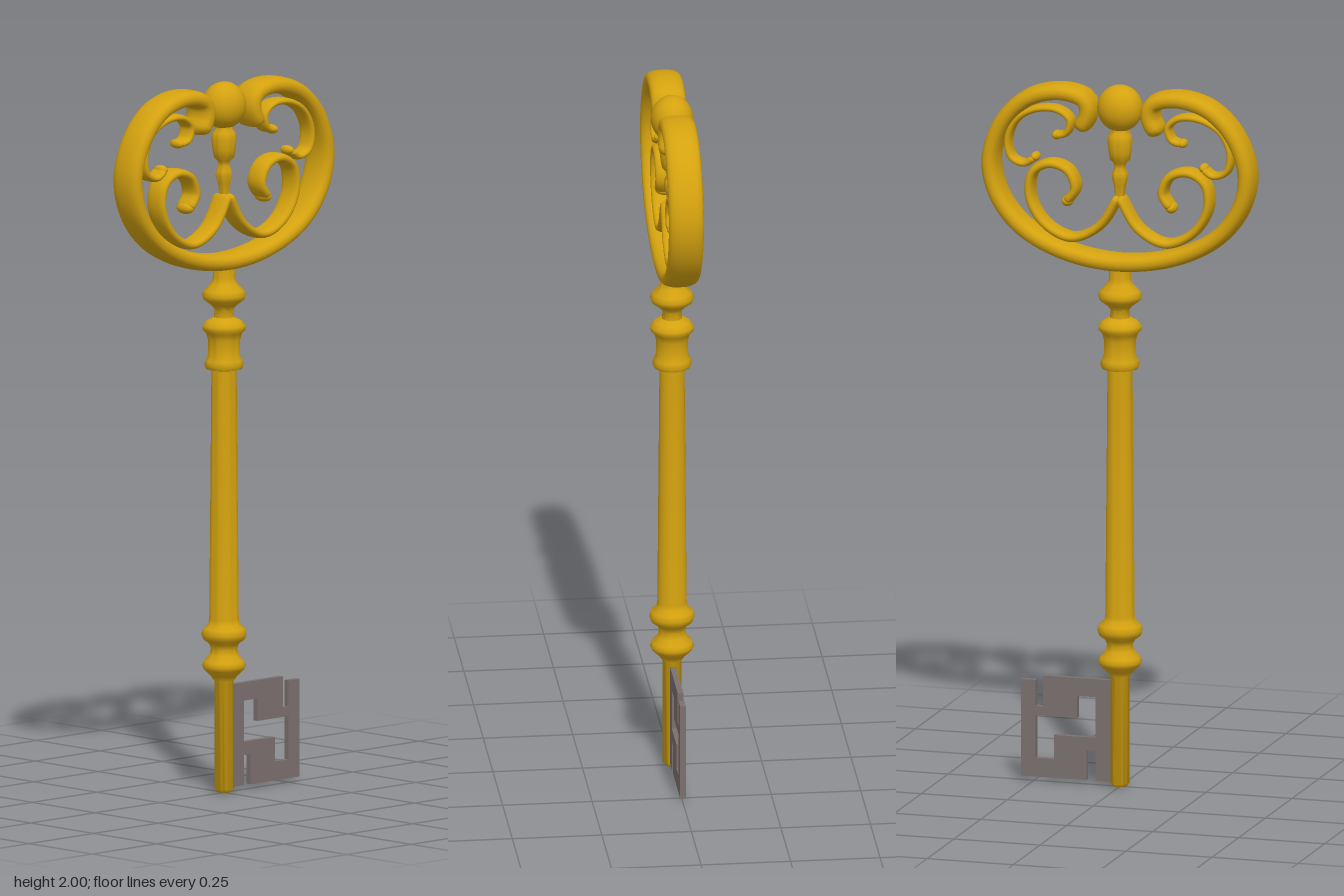
import * as THREE from 'three';
import { toCreasedNormals } from 'three/addons/utils/BufferGeometryUtils.js';

const gold = new THREE.MeshStandardMaterial({ color: 0xd4a20f });
const iron = new THREE.MeshStandardMaterial({ color: 0x7a706e });
const SIDES = 20;

function add(group, name, geometry, material = gold) {
  const mesh = new THREE.Mesh(geometry, material);
  mesh.name = name;
  group.add(mesh);
  return mesh;
}

// Swept bar in the z-y plane: width w in the plane, depth d along x, rounded ends
function scrollBar(points, w, d, segments) {
  const curve = new THREE.CatmullRomCurve3(points.map(([z, y]) => new THREE.Vector3(0, y, z)));
  curve.arcLengthDivisions = 600;
  const length = curve.getLength();
  const cap = [0, 0.08, 0.3, 0.6].map(k => k * w);
  const stops = [...cap];
  for (let i = 0; i <= segments; i++) stops.push(w + (length - 2 * w) * i / segments);
  stops.push(...cap.map(s => length - s).reverse());

  const soft = v => Math.sign(v) * Math.pow(Math.abs(v), 0.8);
  const position = [], index = [];
  stops.forEach((s, i) => {
    const u = Math.min(1, Math.max(0, s / length));
    const p = curve.getPointAt(u), t = curve.getTangentAt(u);
    const edge = Math.min(s, length - s);
    const scale = edge < w ? Math.sqrt(Math.max(0, 1 - (1 - edge / w) ** 2)) : 1;
    for (let j = 0; j < SIDES; j++) {
      const a = j / SIDES * Math.PI * 2;
      const n = soft(Math.cos(a)) * w * scale;
      position.push(soft(Math.sin(a)) * d * scale, p.y - t.z * n, p.z + t.y * n);
      if (i === stops.length - 1) continue;
      const k = (j + 1) % SIDES, r = i * SIDES, q = r + SIDES;
      index.push(r + j, r + k, q + j, r + k, q + k, q + j);
    }
  });
  const g = new THREE.BufferGeometry();
  g.setAttribute('position', new THREE.Float32BufferAttribute(position, 3));
  g.setIndex(index);
  g.computeVertexNormals();
  return g;
}

// Turned part from [radius, height] pairs
function turned(profile) {
  const g = new THREE.LatheGeometry(profile.map(([r, y]) => new THREE.Vector2(r, y)), 32);
  return toCreasedNormals(g, 0.9);
}

const mirror = points => points.map(([z, y]) => [-z, y]);

export function createModel() {
  const key = new THREE.Group();
  key.name = 'key';

  // Shaft with turned collars
  add(key, 'shaft', turned([
    [0, 0], [0.02, 0.002], [0.026, 0.01], [0.027, 0.315],
    [0.038, 0.33], [0.056, 0.347], [0.061, 0.358], [0.056, 0.37], [0.04, 0.388], [0.036, 0.405],
    [0.042, 0.42], [0.058, 0.432], [0.063, 0.447], [0.058, 0.462], [0.044, 0.474], [0.041, 0.49],
    [0.035, 1.19], [0.05, 1.193], [0.055, 1.204], [0.051, 1.217], [0.045, 1.23],
    [0.045, 1.275], [0.05, 1.293], [0.06, 1.303], [0.06, 1.315], [0.048, 1.328], [0.028, 1.338],
    [0.026, 1.36], [0.036, 1.372], [0.057, 1.388], [0.061, 1.4], [0.055, 1.414],
    [0.036, 1.433], [0.03, 1.45], [0.032, 1.5]
  ]));

  // Bow: one bar curling inward at both ends
  const half = [
    [0.116, 1.865], [0.09, 1.913], [0.097, 1.952], [0.164, 1.972], [0.259, 1.95], [0.333, 1.881],
    [0.372, 1.775], [0.354, 1.675], [0.286, 1.585], [0.164, 1.521]
  ];
  add(key, 'bow', scrollBar([...half, [0, 1.495], ...mirror(half).reverse()], 0.024, 0.049, 120));

  // Paired scrolls inside the bow
  const upper = [
    [0.185, 1.844], [0.153, 1.855], [0.143, 1.892], [0.175, 1.918], [0.238, 1.918],
    [0.296, 1.886], [0.323, 1.828], [0.312, 1.775], [0.275, 1.76], [0.243, 1.78]
  ];
  const lower = [
    [0, 1.685], [0.058, 1.595], [0.138, 1.558], [0.217, 1.595], [0.259, 1.67],
    [0.249, 1.738], [0.201, 1.765], [0.148, 1.749], [0.127, 1.7], [0.153, 1.658]
  ];
  for (const [side, place] of [['front', p => p], ['back', mirror]]) {
    add(key, side + 'UpperScroll', scrollBar(place(upper), 0.01, 0.027, 60));
    add(key, side + 'LowerScroll', scrollBar(place(lower), 0.013, 0.033, 70));
    // Beads at the scroll tips
    for (const [z, y, r] of [[0.183, 1.846, 0.013], [0.245, 1.78, 0.013], [0.151, 1.661, 0.016]]) {
      const bead = add(key, side + 'ScrollTip', new THREE.SphereGeometry(r, 16, 12));
      bead.scale.x = 1.9;
      bead.position.set(0, y, side === 'front' ? z : -z);
    }
  }

  // Finial: baluster carrying a ball
  add(key, 'finialStem', turned([
    [0, 1.655], [0.012, 1.66], [0.014, 1.69], [0.017, 1.715], [0.023, 1.735], [0.022, 1.75],
    [0.015, 1.765], [0.018, 1.778], [0.028, 1.788], [0.032, 1.81], [0.035, 1.84],
    [0.032, 1.858], [0.024, 1.868], [0.026, 1.9]
  ]));
  const ball = add(key, 'finialBall', new THREE.SphereGeometry(1, 32, 24));
  ball.scale.set(0.059, 0.066, 0.064);
  ball.position.y = 1.934;

  // Bit: flat warded plate behind the shaft
  const corners = list => list.map(([x, y]) => new THREE.Vector2(x, y));
  const plate = new THREE.Shape(corners([
    [0.02, 0.013], [0.069, 0.013], [0.069, 0.098], [0.095, 0.098], [0.095, 0.013], [0.286, 0.013],
    [0.286, 0.288], [0.243, 0.288], [0.243, 0.214], [0.222, 0.214], [0.222, 0.302], [0.02, 0.302]
  ]));
  plate.holes.push(new THREE.Path(corners([
    [0.069, 0.251], [0.122, 0.251], [0.122, 0.188], [0.243, 0.188],
    [0.243, 0.066], [0.19, 0.066], [0.19, 0.135], [0.069, 0.135]
  ])));
  const bit = new THREE.ExtrudeGeometry(plate, { depth: 0.016, bevelEnabled: false });
  bit.translate(0, 0, -0.008);
  bit.rotateY(Math.PI / 2);
  add(key, 'bit', bit, iron);

  return key;
}
